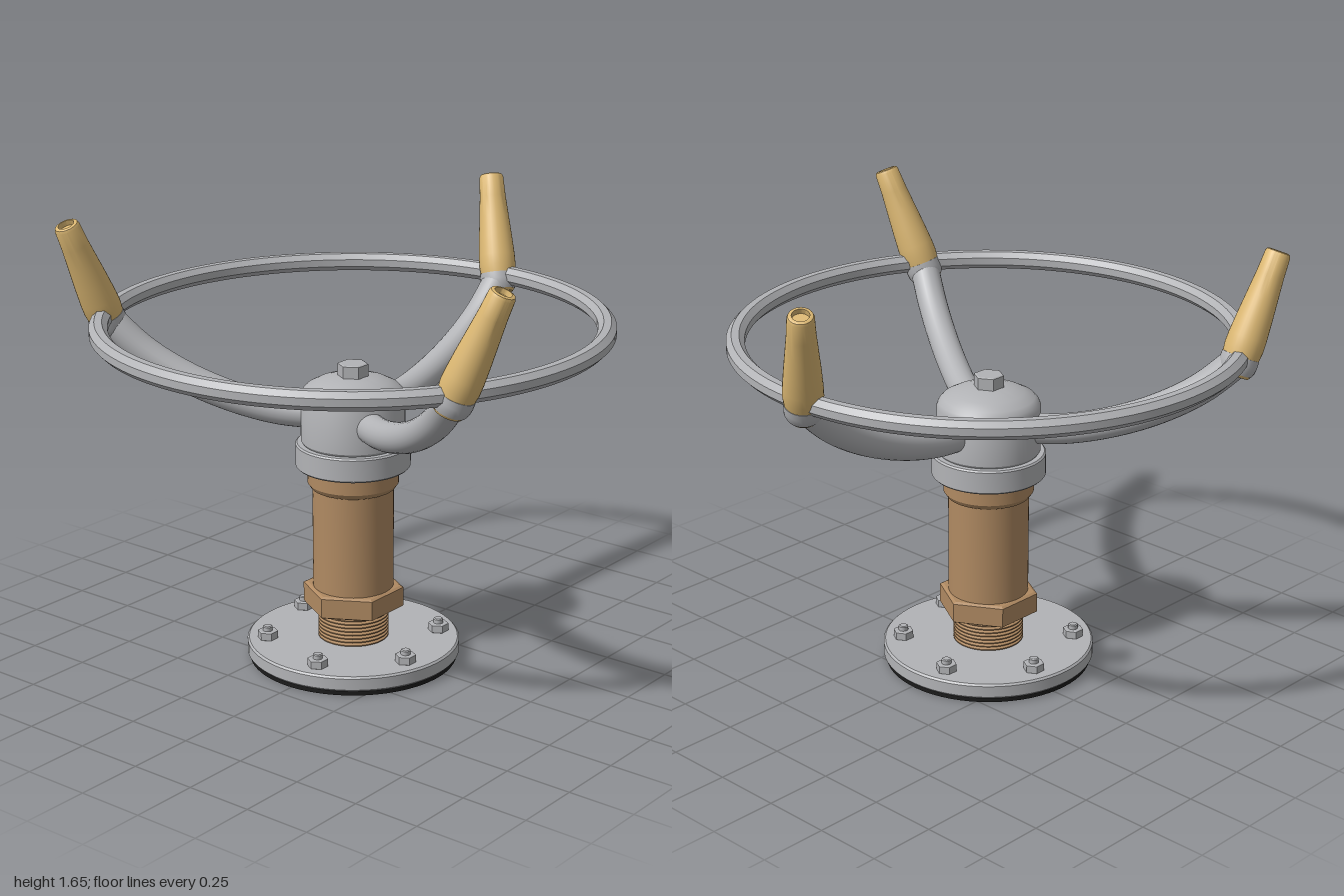
import * as THREE from 'three';
import { toCreasedNormals } from 'three/addons/utils/BufferGeometryUtils.js';

const steel = new THREE.MeshStandardMaterial({ name: 'steel grey', color: 0xb2b3b6 });
const bronze = new THREE.MeshStandardMaterial({ name: 'bronze brown', color: 0xb08a62 });
const grip = new THREE.MeshStandardMaterial({ name: 'grip tan', color: 0xdcb873 });
const rubber = new THREE.MeshStandardMaterial({ name: 'gasket black', color: 0x1b1b1b });

function add(parent, name, geometry, material, x = 0, y = 0, z = 0) {
  const mesh = new THREE.Mesh(toCreasedNormals(geometry, 0.5), material);
  mesh.name = name;
  mesh.position.set(x, y, z);
  parent.add(mesh);
  return mesh;
}

// Turned part from [radius, height] pairs, listed from the bottom up
function turned(points, sides = 64) {
  return new THREE.LatheGeometry(points.map(([r, y]) => new THREE.Vector2(r, y)), sides);
}

// Hexagon with bevelled rims, corners on the z axis
function hex(radius, height, bevel) {
  return turned([[0, 0], [radius - bevel, 0], [radius, bevel / 2], [radius, height - bevel / 2],
    [radius - bevel, height], [0, height]], 6);
}

export function createModel() {
  const model = new THREE.Group();
  model.name = 'threeArmCapstan';
  const body = new THREE.Group();
  body.name = 'body';
  body.position.set(-0.02, 0, 0.052);
  model.add(body);

  // Base flange and gasket
  add(body, 'gasket', turned([[0, 0], [0.385, 0], [0.385, 0.02], [0, 0.02]]), rubber);
  add(body, 'flange', turned([[0, 0.018], [0.388, 0.018], [0.395, 0.025], [0.395, 0.068],
    [0.388, 0.075], [0, 0.075]]), steel);

  // Six flange nuts with stud ends
  for (let i = 0; i < 6; i++) {
    const a = (15 + i * 60) * Math.PI / 180;
    const x = 0.32 * Math.cos(a), z = 0.32 * Math.sin(a);
    add(body, 'flangeNut', hex(0.038, 0.032, 0.004), steel, x, 0.075, z);
    add(body, 'flangeStud', turned([[0.018, 0], [0.018, 0.047], [0.014, 0.05], [0, 0.05]], 16), steel, x, 0.075, z);
  }

  // Threaded neck
  const thread = [[0, 0.07]];
  for (let i = 0; i < 9; i++) {
    const y = 0.075 + i * 0.014;
    thread.push([0.12, y], [0.131, y + 0.005], [0.131, y + 0.009]);
  }
  thread.push([0.12, 0.201], [0, 0.201]);
  add(body, 'threadedNeck', turned(thread, 48), bronze);

  // Hexagonal foot, column and upper shoulder
  add(body, 'columnHex', hex(0.187, 0.085, 0.012), bronze, 0, 0.195, 0);
  add(body, 'column', turned([[0, 0.27], [0.149, 0.27], [0.149, 0.662], [0.155, 0.665],
    [0.167, 0.683], [0.167, 0.75], [0, 0.75]]), bronze);

  // Rotating hub
  add(body, 'hubCollar', turned([[0, 0.745], [0.204, 0.745], [0.21, 0.751], [0.21, 0.83],
    [0.204, 0.836], [0, 0.836]]), steel);
  add(body, 'hubDome', turned([[0.18, 0.83], [0.19, 0.845], [0.19, 1.012], [0.183, 1.03], [0.168, 1.046],
    [0.13, 1.066], [0.09, 1.079], [0.045, 1.086], [0, 1.088]]), steel);
  add(body, 'hubBolt', hex(0.056, 0.052, 0.006), steel, 0, 1.08, 0);

  // Hand ring with an eight-sided section
  const section = [];
  for (let i = 0; i <= 8; i++) {
    const a = (i - 0.5) * Math.PI / 4;
    section.push([0.906 + 0.036 * Math.cos(a), 1.278 + 0.036 * Math.sin(a)]);
  }
  add(body, 'handRing', turned(section, 128), steel);

  // Three curved arms, each with a leaning grip
  const armPath = new THREE.CatmullRomCurve3([[0.13, 0.935], [0.28, 0.946], [0.45, 0.987], [0.62, 1.055],
    [0.77, 1.145], [0.9, 1.262]].map(([r, y]) => new THREE.Vector3(0, y, -r)));
  const base = new THREE.Vector3(0, 1.25, -0.898);
  const lean = new THREE.Vector3(-0.122, 1.634, -1.008).sub(base);
  const length = lean.length();
  lean.normalize();
  for (let i = 0; i < 3; i++) {
    const arm = new THREE.Group();
    arm.name = 'arm';
    arm.rotation.y = i * Math.PI * 2 / 3;
    body.add(arm);
    add(arm, 'armTube', new THREE.TubeGeometry(armPath, 32, 0.056, 24, false), steel);

    const handle = new THREE.Group();
    handle.name = 'handle';
    handle.position.copy(base);
    handle.quaternion.setFromUnitVectors(new THREE.Vector3(0, 1, 0), lean);
    arm.add(handle);
    add(handle, 'gripFoot', turned([[0, -0.042], [0.052, -0.042], [0.06, -0.03], [0, -0.03]], 32), grip);
    add(handle, 'gripSocket', turned([[0, -0.032], [0.06, -0.032], [0.067, -0.015], [0.069, 0.005],
      [0.068, 0.03], [0, 0.03]], 32), steel);
    add(handle, 'grip', turned([[0.066, 0.028], [0.07, 0.06], [0.069, 0.1], [0.064, 0.17], [0.057, 0.25],
      [0.05, 0.33], [0.046, length - 0.012], [0.042, length - 0.003], [0.036, length],
      [0.03, length], [0.03, length - 0.02], [0, length - 0.02]], 32), grip);
  }
  return model;
}
